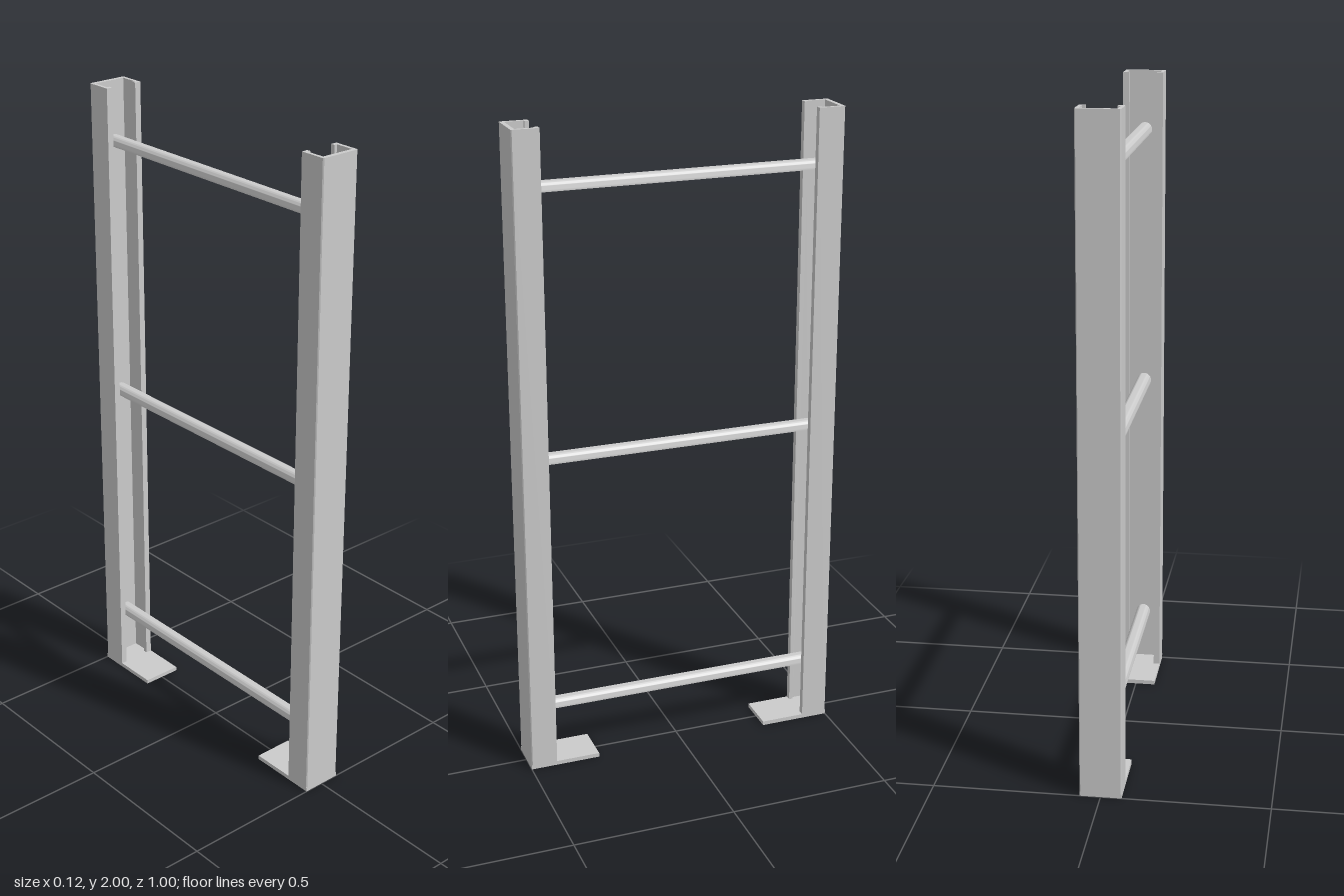
import * as THREE from 'three';
import { toCreasedNormals } from 'three/addons/utils/BufferGeometryUtils.js';

const material = new THREE.MeshStandardMaterial({ color: 0xcccccc });

function addMesh(parent, name, geometry) {
  const mesh = new THREE.Mesh(geometry, material);
  mesh.name = name;
  parent.add(mesh);
  return mesh;
}

// Lipped C channel, open towards the centre of the frame
function channelGeometry(height) {
  const half = [
    [0.0625, 0.418], [0.0625, 0.497], [0.0595, 0.5],   // outer wall with eased corner
  ];
  const inner = [
    [0.052, 0.487], [0.052, 0.431], [0.043, 0.431], [0.043, 0.418], // inner wall and lip
  ];
  const mirror = (points) => points.map(([x, y]) => [-x, y]).reverse();
  const outline = [...half, ...mirror(half), ...mirror(inner), ...inner];
  const shape = new THREE.Shape(outline.map(([x, y]) => new THREE.Vector2(x, y)));
  return new THREE.ExtrudeGeometry(shape, { depth: height, bevelEnabled: false }).rotateX(-Math.PI / 2);
}

// Rung with a flat underside and an arched top
function rungGeometry(length) {
  const r = 0.0225, side = 0.007, bottom = -0.015;
  const shape = new THREE.Shape();
  shape.moveTo(-r, bottom);
  shape.lineTo(r, bottom);
  shape.lineTo(r, bottom + side);
  shape.absarc(0, bottom + side, r, 0, Math.PI, false);
  shape.closePath();
  const geometry = new THREE.ExtrudeGeometry(shape, { depth: length, bevelEnabled: false, curveSegments: 20 });
  return toCreasedNormals(geometry.translate(0, 0, -length / 2), Math.PI / 5);
}

export function createModel() {
  const model = new THREE.Group();
  model.name = 'ladderFrame';
  const plateHeight = 0.013;

  // Two uprights, each standing on a foot plate that reaches inwards
  const channel = channelGeometry(2 - plateHeight);
  const plate = new THREE.BoxGeometry(0.125, plateHeight, 0.22);
  for (const [name, turn] of [['backUpright', 0], ['frontUpright', Math.PI]]) {
    const upright = new THREE.Group();
    upright.name = name;
    addMesh(upright, 'channelPost', channel).position.y = plateHeight;
    addMesh(upright, 'footPlate', plate).position.set(0, plateHeight / 2, -0.39);
    upright.rotation.y = turn;
    model.add(upright);
  }

  // Rungs between the uprights
  const rung = rungGeometry(0.942);
  ['lowerRung', 'middleRung', 'upperRung'].forEach((name, i) => {
    addMesh(model, name, rung).position.y = 0.192 + i * 0.817;
  });
  return model;
}
